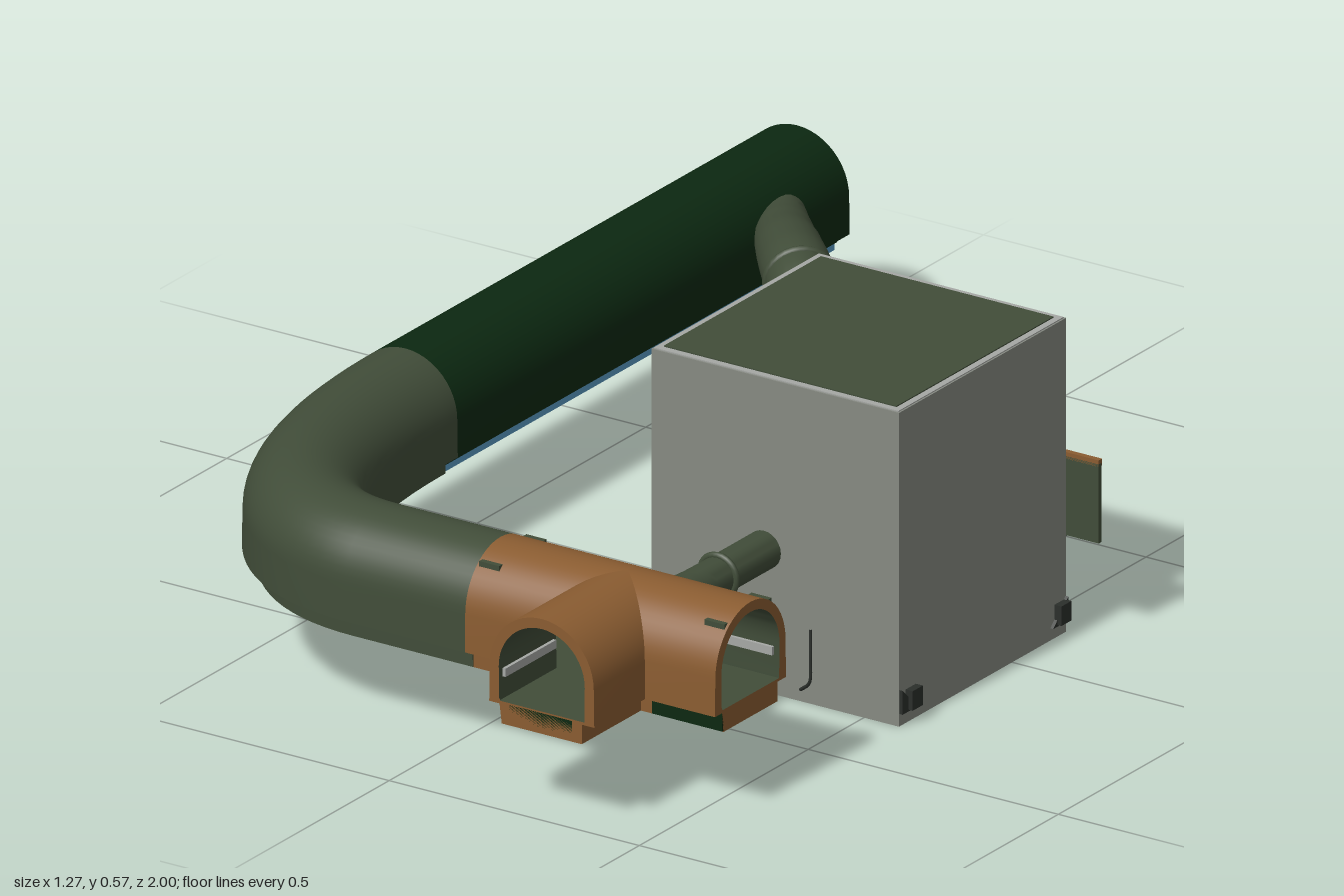
import * as THREE from 'three';
import { mergeGeometries, toCreasedNormals } from 'three/addons/utils/BufferGeometryUtils.js';

const V = (x, y, z) => new THREE.Vector3(x, y, z);
const paint = (name, color, side = THREE.FrontSide) => {
  const m = new THREE.MeshStandardMaterial({ color, side });
  m.name = name;
  return m;
};

export function createModel() {
  const grey = paint('casing grey', 0x868a82);
  const pale = paint('pale grey', 0xa6a8a5);
  const olive = paint('olive green', 0x414d39, THREE.DoubleSide);
  const dark = paint('dark green', 0x0c2811);
  const orange = paint('copper orange', 0x8a5c31);
  const blue = paint('blue', 0x5a9cc4);
  const black = paint('charcoal', 0x2b2f2b);

  const model = new THREE.Group();
  const add = (name, geometry, material, x = 0, y = 0, z = 0) => {
    const mesh = new THREE.Mesh(geometry, material);
    mesh.name = name;
    mesh.position.set(x, y, z);
    model.add(mesh);
    return mesh;
  };
  // box given by its limits on each axis
  const block = (name, mat, x0, x1, y0, y1, z0, z1) =>
    add(name, new THREE.BoxGeometry(x1 - x0, y1 - y0, z1 - z0), mat,
      (x0 + x1) / 2, (y0 + y1) / 2, (z0 + z1) / 2);

  // arched duct section: straight foot, upright walls, round crown
  const arch = (foot, r) => {
    const half = [...foot];
    for (let i = 0; i <= 12; i++) {
      const a = (i / 24) * Math.PI;
      half.push([r * Math.cos(a), 0.257 + r * Math.sin(a)]);
    }
    return [...half, ...half.slice(0, -1).reverse().map(([u, y]) => [-u, y])];
  };
  const outerProfile = (base) => arch([[0, base], [0.08, base], [0.08, 0.19], [0.105, 0.19]], 0.104);
  const innerProfile = arch([[0, 0.195], [0.06, 0.195], [0.085, 0.195], [0.085, 0.2]], 0.086);

  // skin between two rows of points
  const skin = (rows, flip) => {
    const pos = rows.flat().flatMap((p) => [p.x, p.y, p.z]);
    const n = rows[0].length, index = [];
    for (let i = 0; i < rows.length - 1; i++) {
      for (let j = 0; j < n - 1; j++) {
        const a = i * n + j, b = a + 1, d = a + n, c = d + 1;
        index.push(...(flip ? [a, d, b, b, d, c] : [a, b, d, b, c, d]));
      }
    }
    const g = new THREE.BufferGeometry();
    g.setAttribute('position', new THREE.Float32BufferAttribute(pos, 3));
    g.setIndex(index);
    return toCreasedNormals(g, 0.5);
  };

  // hollow duct along a level path; start and end mitres shift points along the path
  const duct = (name, path, mat, base = 0.155, startMitre = null, endMitre = null) => {
    const last = path.length - 1;
    const rowsOf = (profile) => path.map(({ p, t }, i) => {
      const side = V(0, 1, 0).cross(t);
      const mitre = i === 0 ? startMitre : i === last ? endMitre : null;
      return profile.map(([u, y]) => V(p.x, y, p.z)
        .addScaledVector(side, u).addScaledVector(t, mitre ? mitre(u) : 0));
    });
    const out = rowsOf(outerProfile(base)), inn = rowsOf(innerProfile);
    const parts = [skin(out, false)];
    if (!startMitre) parts.push(skin([out[0], inn[0]], true));
    if (!endMitre) parts.push(skin([out[last], inn[last]], false));
    add(name, mergeGeometries(parts), mat);
    add(name + 'Lining', skin(inn, true), olive);
  };
  const straight = (a, b) => {
    const t = b.clone().sub(a).normalize();
    return [{ p: a, t }, { p: b, t }];
  };

  // long straight duct with its blue underside
  duct('longDuct', straight(V(-0.535, 0, -1), V(-0.535, 0, 0.16)), dark, 0.17);
  block('ductUnderside', blue, -0.61, -0.46, 0.155, 0.17, -1, 0.16);

  // bend and short run
  const bend = new THREE.CubicBezierCurve3(V(-0.535, 0, 0.16), V(-0.535, 0, 0.52), V(-0.41, 0, 0.745), V(-0.19, 0, 0.745));
  const bendPath = [];
  for (let i = 0; i <= 28; i++) bendPath.push({ p: bend.getPoint(i / 28), t: bend.getTangent(i / 28) });
  bendPath.push({ p: V(0.05, 0, 0.745), t: V(1, 0, 0) });
  duct('bendDuct', bendPath, olive);

  // tee junction, mitred where the three arms meet
  const wing = (u) => Math.max(0, -u);
  duct('teeInnerArm', straight(V(0.05, 0, 0.745), V(0.305, 0, 0.745)), orange, 0.155, null, (u) => -wing(u));
  duct('teeOuterArm', straight(V(0.305, 0, 0.745), V(0.55, 0, 0.745)), orange, 0.155, wing, null);
  duct('teeFrontArm', straight(V(0.305, 0, 0.745), V(0.305, 0, 1)), orange, 0.155, Math.abs, null);
  block('teeFootPlate', dark, 0.41, 0.55, 0.157, 0.188, 0.824, 0.829);
  block('teeFrontSlot', dark, 0.24, 0.365, 0.165, 0.192, 0.998, 1);
  for (const x of [0.075, 0.525]) {
    for (const z of [0.68, 0.81]) block('teeClip', olive, x - 0.02, x + 0.02, 0.33, 0.343, z - 0.005, z + 0.005);
  }

  // pale guide strips inside the open ends
  block('longDuctGuide', pale, -0.456, -0.45, 0.235, 0.25, -0.99, 0.15);
  block('teeGuide', pale, 0.06, 0.54, 0.235, 0.25, 0.66, 0.666);
  block('teeFrontGuide', pale, 0.22, 0.226, 0.235, 0.25, 0.84, 0.99);

  // machine casing with lid
  block('casing', grey, 0.075, 0.57, 0, 0.563, -0.16, 0.335);
  block('lidRim', pale, 0.078, 0.567, 0.562, 0.565, -0.157, 0.332);
  block('lidPanel', olive, 0.09, 0.555, 0.563, 0.567, -0.145, 0.32);

  // sliding door on the back
  block('lowerDoor', olive, 0.08, 0.565, 0.03, 0.17, -0.166, -0.159);
  block('slidingDoor', olive, 0.08, 0.635, 0.173, 0.315, -0.168, -0.16);
  block('upperDoorRail', orange, 0.08, 0.635, 0.31, 0.322, -0.17, -0.16);
  block('lowerDoorRail', orange, 0.08, 0.565, 0.028, 0.042, -0.17, -0.16);
  block('doorSeam', black, 0.08, 0.565, 0.168, 0.174, -0.169, -0.16);

  // triangular corner brackets on the side of the casing
  for (const [z, s] of [[0.333, -1], [-0.158, 1]]) {
    const tri = new THREE.Shape([[0, 0.022], [s * 0.045, 0.022], [0, 0.065]].map(([a, b]) => new THREE.Vector2(-a, b)));
    const g = new THREE.ExtrudeGeometry(tri, { depth: 0.007, bevelEnabled: false });
    add('cornerBracket', g, black, 0.569, 0, z).rotation.y = Math.PI / 2;
  }
  for (const z of [-0.14, 0.3]) block('footStud', black, 0.57, 0.584, 0.025, 0.06, z - 0.015, z + 0.015);
  block('sideCatch', black, 0.052, 0.076, 0.275, 0.282, -0.052, -0.042);

  // hooked cable on the front of the casing
  const cable = new THREE.CatmullRomCurve3([V(0.395, 0.135, 0.338), V(0.397, 0.08, 0.341), V(0.395, 0.04, 0.341), V(0.375, 0.022, 0.338)]);
  add('cable', new THREE.TubeGeometry(cable, 16, 0.003, 6), black);

  // pipe whose radius follows a list along its length
  const pipe = (name, points, radii, mat, rings = 48) => {
    const curve = new THREE.CatmullRomCurve3(points), sides = 24;
    const g = new THREE.TubeGeometry(curve, rings, 1, sides);
    const pos = g.attributes.position, p = new THREE.Vector3();
    for (let k = 0; k < pos.count; k++) {
      const f = Math.floor(k / (sides + 1)) / rings;
      const s = f * (radii.length - 1), i = Math.min(Math.floor(s), radii.length - 2);
      const c = curve.getPointAt(f);
      p.fromBufferAttribute(pos, k).sub(c).multiplyScalar(THREE.MathUtils.lerp(radii[i], radii[i + 1], s - i)).add(c);
      pos.setXYZ(k, p.x, p.y, p.z);
    }
    g.deleteAttribute('normal');
    g.deleteAttribute('uv');
    add(name, toCreasedNormals(g, 0.6), mat);
    return curve;
  };

  // rear hose, its joint rings and casing collar
  const hose = pipe('rearHose',
    [V(0.08, 0.165, -0.19), V(0.03, 0.167, -0.25), V(-0.04, 0.18, -0.335), V(-0.11, 0.22, -0.415),
      V(-0.2, 0.308, -0.52), V(-0.3, 0.308, -0.635), V(-0.38, 0.287, -0.735), V(-0.45, 0.278, -0.84)],
    [0.058, 0.056, 0.054, 0.056, 0.058, 0.06, 0.056, 0.05, 0.034], olive);
  for (const f of [0.29, 0.57]) {
    const ring = add('hoseRing', new THREE.TorusGeometry(0.056, 0.008, 8, 28), olive);
    ring.position.copy(hose.getPointAt(f));
    ring.lookAt(ring.position.clone().add(hose.getTangentAt(f)));
  }
  pipe('hoseCollar', [V(0.15, 0.172, -0.11), V(0.1, 0.17, -0.165), V(0.045, 0.166, -0.228)], [0.078, 0.078, 0.074],
    paint('collar grey', 0xa6a8a5, THREE.DoubleSide), 12);

  // front pipe between casing and tee
  pipe('frontPipe', [V(0.3, 0.255, 0.33), V(0.3, 0.255, 0.49), V(0.3, 0.255, 0.655)],
    [0.034, 0.034, 0.034, 0.034, 0.035, 0.038, 0.046], olive, 36);
  add('frontPipeRing', new THREE.TorusGeometry(0.036, 0.006, 8, 28), olive, 0.3, 0.255, 0.47);
  add('pipeFlange', new THREE.TorusGeometry(0.058, 0.008, 8, 32), pale, 0.302, 0.257, 0.672);
  add('pipeMouth', new THREE.CircleGeometry(0.056, 32), dark, 0.302, 0.257, 0.671);
  add('pipeBore', new THREE.CircleGeometry(0.028, 32), olive, 0.302, 0.255, 0.673);

  return model;
}
